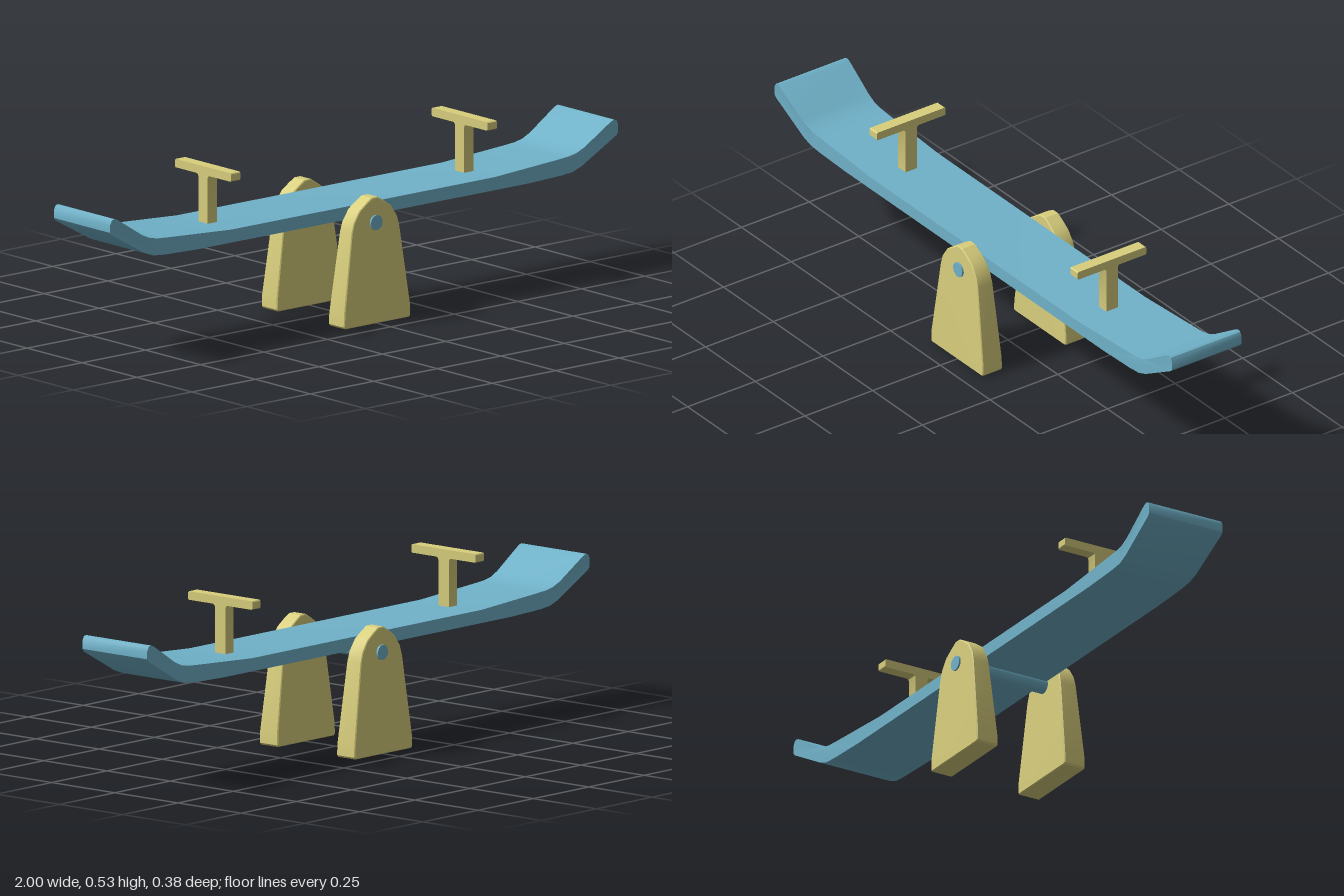
import * as THREE from 'three';
import { toCreasedNormals } from 'three/addons/utils/BufferGeometryUtils.js';

const blue = new THREE.MeshStandardMaterial({ color: 0x70b2c9 });
blue.name = 'soft blue';
const yellow = new THREE.MeshStandardMaterial({ color: 0xd9cf7d });
yellow.name = 'pale yellow';

// Extrudes an outline to a depth centred on z = 0, with a small bevel inside the outline
function slab(points, depth, bevel = 0) {
  const shape = new THREE.Shape(points.map(([x, y]) => new THREE.Vector2(x, y)));
  const geo = new THREE.ExtrudeGeometry(shape, {
    depth: depth - 2 * bevel, bevelEnabled: bevel > 0,
    bevelSize: bevel, bevelOffset: -bevel, bevelThickness: bevel, bevelSegments: 1,
  });
  return geo.translate(0, 0, bevel - depth / 2);
}

// Moves every vertex's z by a rule
function reshapeZ(geo, rule) {
  const p = geo.attributes.position;
  for (let i = 0; i < p.count; i++) p.setZ(i, rule(p.getX(i), p.getY(i), p.getZ(i)));
  return toCreasedNormals(geo, 0.5);
}

function add(group, name, geo, material) {
  const mesh = new THREE.Mesh(geo, material);
  mesh.name = name;
  group.add(mesh);
  return mesh;
}

const mirrorX = (pts) => [...pts, ...pts.slice().reverse().map(([x, y]) => [-x, y])];

export function createModel() {
  const model = new THREE.Group();
  model.name = 'seesaw';

  // Plank: upturned rounded ends that flare slightly in width
  const plankHalf = [
    [0.65, 0.315], [0.78, 0.319], [0.825, 0.323], [0.86, 0.336], [0.993, 0.411],
    [1, 0.42], [1, 0.444], [0.993, 0.457], [0.984, 0.46], [0.972, 0.456],
    [0.87, 0.392], [0.84, 0.379], [0.81, 0.373], [0.77, 0.37], [0.52, 0.355],
  ];
  const plank = reshapeZ(slab(mirrorX(plankHalf), 0.246), (x, y, z) =>
    z * (1 + 0.045 * THREE.MathUtils.clamp((Math.abs(x) - 0.83) / 0.14, 0, 1)));
  add(model, 'plank', plank, blue);

  // Axle through both supports
  const axle = add(model, 'axle', new THREE.CylinderGeometry(0.023, 0.023, 0.372, 24), blue);
  axle.rotation.x = Math.PI / 2;
  axle.position.y = 0.307;

  // Supports: rounded peak, thicker towards the foot
  const supportHalf = [
    [0.126, 0], [0.131, 0.006], [0.13, 0.04], [0.094, 0.285],
    [0.085, 0.316], [0.062, 0.35], [0.035, 0.369], [0.012, 0.383],
  ];
  for (const side of [1, -1]) {
    const support = reshapeZ(slab(mirrorX(supportHalf), 0.073, 0.003), (x, y, z) =>
      z * (1 - 0.32 * Math.max(0, y - 0.03) / 0.355) + side * 0.153);
    add(model, side > 0 ? 'frontSupport' : 'backSupport', support, yellow);
  }

  // T-shaped handles, filleted under the bar
  const handleHalf = [
    [0.021, 0.345], [0.021, 0.494], [0.023, 0.499], [0.028, 0.502], [0.124, 0.502],
    [0.127, 0.505], [0.127, 0.525], [0.124, 0.528],
  ];
  for (const side of [1, -1]) {
    const handle = add(model, side > 0 ? 'leftHandle' : 'rightHandle',
      toCreasedNormals(slab(mirrorX(handleHalf), 0.037), 0.5), yellow);
    handle.rotation.y = Math.PI / 2;
    handle.position.x = side * 0.505;
  }
  return model;
}
